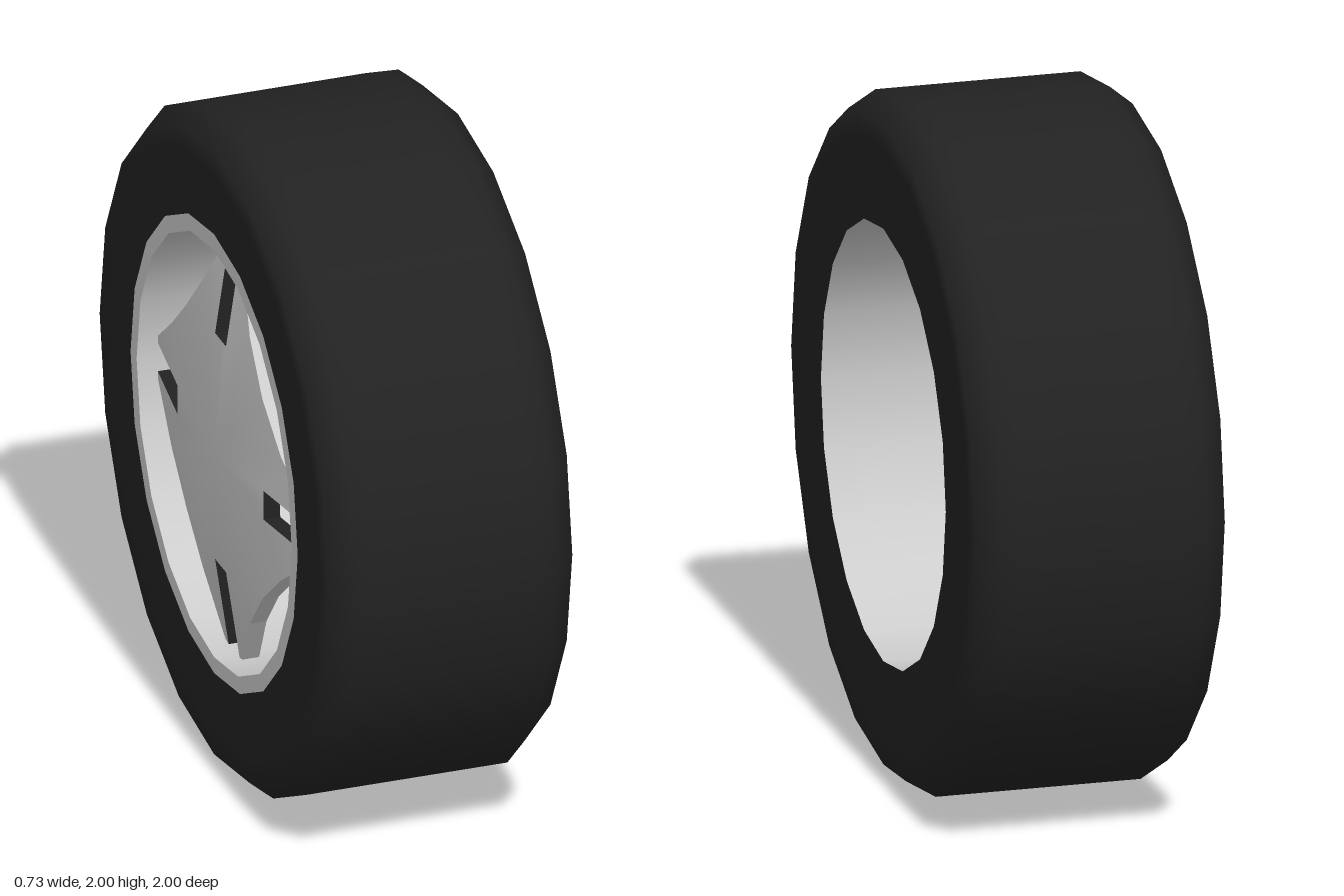
import * as THREE from 'three';
import { mergeVertices } from 'three/addons/utils/BufferGeometryUtils.js';

const SIDES = 20;
const HALF = 0.365;     // half of the wheel width
const BORE = 0.64;      // inner radius of the rim
const LIP = 0.69;       // outer radius of the rim lip

const rubber = new THREE.MeshStandardMaterial({ color: 0x222222 });
rubber.name = 'black rubber';
const metal = new THREE.MeshStandardMaterial({ color: 0xcccccc });
metal.name = 'light grey metal';

function mesh(name, geometry, material) {
  const m = new THREE.Mesh(geometry, material);
  m.name = name;
  return m;
}

// Turn a [radius, x] profile around the axle (x axis)
function turned(profile) {
  const points = profile.map(([r, x]) => new THREE.Vector2(r, x));
  return new THREE.LatheGeometry(points, SIDES).rotateZ(-Math.PI / 2);
}

// One quarter of the spoke star as [y, z], counter-clockwise seen from +x
const QUARTER = [
  [0, 0], [0.355, 0], [0.355, 0.045], [0.63, 0.045], [0.625, 0.07], [0.45, 0.195],
  [0.315, 0.315], [0.195, 0.45], [0.07, 0.625], [0.045, 0.63], [0.045, 0.355], [0, 0.355],
];
const FACES = [
  [0, 1, 2], [0, 2, 5], [2, 3, 4], [2, 4, 5], [0, 5, 6],
  [0, 6, 7], [0, 7, 10], [7, 8, 10], [8, 9, 10], [0, 10, 11],
];
const SLOT_EDGES = [1, 2, 9, 10];
const RIM_EDGES = [3, 4, 5, 6, 7, 8];
const THICK = 0.05;

// Point of the dished star: the centre bulges towards -x
function starPoint(i, quarter, back) {
  const [y, z] = QUARTER[i];
  const a = quarter * Math.PI / 2, c = Math.cos(a), s = Math.sin(a);
  const x = -0.365 + 0.15 * (y * y + z * z) + (back ? 0 : THICK);
  return [x, y * c - z * s, y * s + z * c];
}

function fromTriangles(corners, smooth) {
  let g = new THREE.BufferGeometry();
  g.setAttribute('position', new THREE.Float32BufferAttribute(corners.flat(), 3));
  if (smooth) g = mergeVertices(g, 1e-4);
  g.computeVertexNormals();
  return g;
}

function starFace(back) {
  const corners = [];
  for (let q = 0; q < 4; q++) {
    for (const [a, b, c] of FACES) {
      for (const i of back ? [a, c, b] : [a, b, c]) corners.push(starPoint(i, q, back));
    }
  }
  return fromTriangles(corners, true);
}

function starWalls(edges) {
  const corners = [];
  for (let q = 0; q < 4; q++) {
    for (const i of edges) {
      const a = starPoint(i, q, true), b = starPoint(i + 1, q, true);
      const c = starPoint(i + 1, q, false), d = starPoint(i, q, false);
      corners.push(a, b, c, a, c, d);
    }
  }
  return fromTriangles(corners, false);
}

export function createModel() {
  const wheel = new THREE.Group();
  wheel.name = 'wheel';

  // Tyre with chamfered, softly shaded shoulders
  wheel.add(mesh('tyre', turned([
    [LIP, -HALF], [0.88, -HALF], [0.945, -HALF], [1, -0.3], [1, -0.24],
    [1, 0.24], [1, 0.3], [0.945, HALF], [0.88, HALF], [BORE, HALF],
  ]), rubber));

  // Rim barrel and its lip on the outer side
  wheel.add(mesh('rimBarrel', turned([[BORE, HALF], [BORE, -HALF]]), metal));
  wheel.add(mesh('rimLip', turned([[BORE, -HALF], [LIP, -HALF]]), metal));

  // Four-pointed spoke star with dark slots
  const star = new THREE.Group();
  star.name = 'spokeStar';
  star.add(mesh('starInnerFace', starFace(false), metal));
  star.add(mesh('starOuterFace', starFace(true), metal));
  star.add(mesh('starEdges', starWalls(RIM_EDGES), metal));
  star.add(mesh('slotWalls', starWalls(SLOT_EDGES), rubber));
  wheel.add(star);

  wheel.position.y = 1;
  const model = new THREE.Group();
  model.name = 'wheelModel';
  model.add(wheel);
  return model;
}
